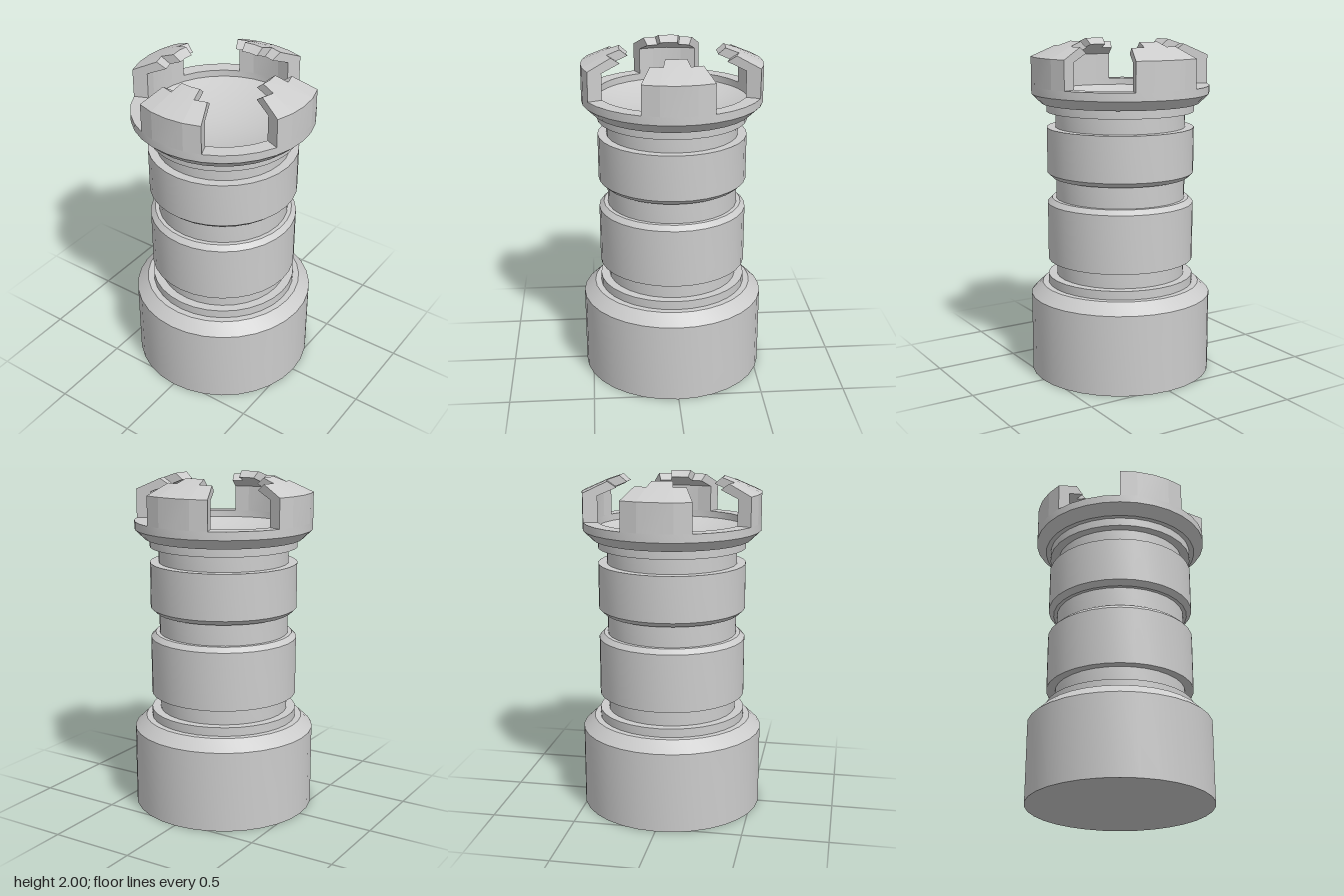
import * as THREE from 'three';
import { toCreasedNormals } from 'three/addons/utils/BufferGeometryUtils.js';

const SIDES = 32;
const STEP = (Math.PI * 2) / SIDES;
const CREASE = 0.35;

export function createModel() {
  const root = new THREE.Group();
  root.name = 'rookTower';

  const stone = new THREE.MeshStandardMaterial({ color: 0xcccccc });
  stone.name = 'stone grey';

  // Every part is smooth around the axis and sharp at its bevels
  const add = (parent, name, geometry) => {
    const mesh = new THREE.Mesh(toCreasedNormals(geometry, CREASE), stone);
    mesh.name = name;
    parent.add(mesh);
  };

  // Turned part; profile runs from bottom to top
  const turned = (points) =>
    new THREE.LatheGeometry(points.map(([r, y]) => new THREE.Vector2(r, y)), SIDES);

  // Closed (radius, height) section swept around the axis over whole facets
  const sector = (section, first, count) => {
    const shape = new THREE.Shape(section.map(([r, y]) => new THREE.Vector2(r, y)));
    const g = new THREE.ExtrudeGeometry(shape, { depth: count, steps: count, bevelEnabled: false });
    const p = g.attributes.position;
    for (let i = 0; i < p.count; i++) {
      const r = p.getX(i);
      const a = (first + p.getZ(i)) * STEP;
      p.setXYZ(i, r * Math.cos(a), p.getY(i), r * Math.sin(a));
    }
    return g;
  };

  // Wide foot with a bevelled shoulder
  add(root, 'base', turned([[0, 0], [0.543, 0], [0.543, 0.48], [0.475, 0.545], [0.43, 0.545]]));

  // Column with two broad bands and three grooves
  add(root, 'column', turned([
    [0.438, 0.545], [0.438, 0.597], [0.386, 0.597], [0.386, 0.695],
    [0.438, 0.695], [0.438, 1.04], [0.41, 1.068], [0.386, 1.068],
    [0.386, 1.195], [0.408, 1.195], [0.438, 1.223], [0.438, 1.492],
    [0.386, 1.492], [0.386, 1.585], [0.438, 1.585], [0.438, 1.635],
  ]));

  // Flared crown ring with its inner lip
  add(root, 'crownRing', turned([
    [0.43, 1.635], [0.467, 1.635], [0.526, 1.692], [0.526, 1.74], [0.44, 1.74], [0.44, 1.7],
  ]));

  // Shallow bowl inside the crown
  const bowl = [];
  for (let i = 0; i <= 8; i++) {
    const t = 1 - i / 8;
    bowl.push([0.44 * t, 1.62 + 0.08 * t * t]);
  }
  add(root, 'bowl', turned(bowl));

  // Four battlements with gently arched roofs and stepped inner teeth
  const wall = [[0.44, 1.893], [0.44, 1.74], [0.526, 1.74], [0.526, 1.91], [0.382, 1.974]];
  const longTooth = [...wall, [0.306, 2.0], [0.262, 1.963]];
  const shortTooth = [...wall, [0.328, 1.937]];
  for (let k = 0; k < 4; k++) {
    const battlement = new THREE.Group();
    battlement.name = 'battlement' + (k + 1);
    battlement.rotation.y = (k * Math.PI) / 2;
    add(battlement, 'longTooth', sector(longTooth, -1, 2));
    add(battlement, 'shortToothA', sector(shortTooth, -2, 1));
    add(battlement, 'shortToothB', sector(shortTooth, 1, 1));
    root.add(battlement);
  }

  return root;
}
